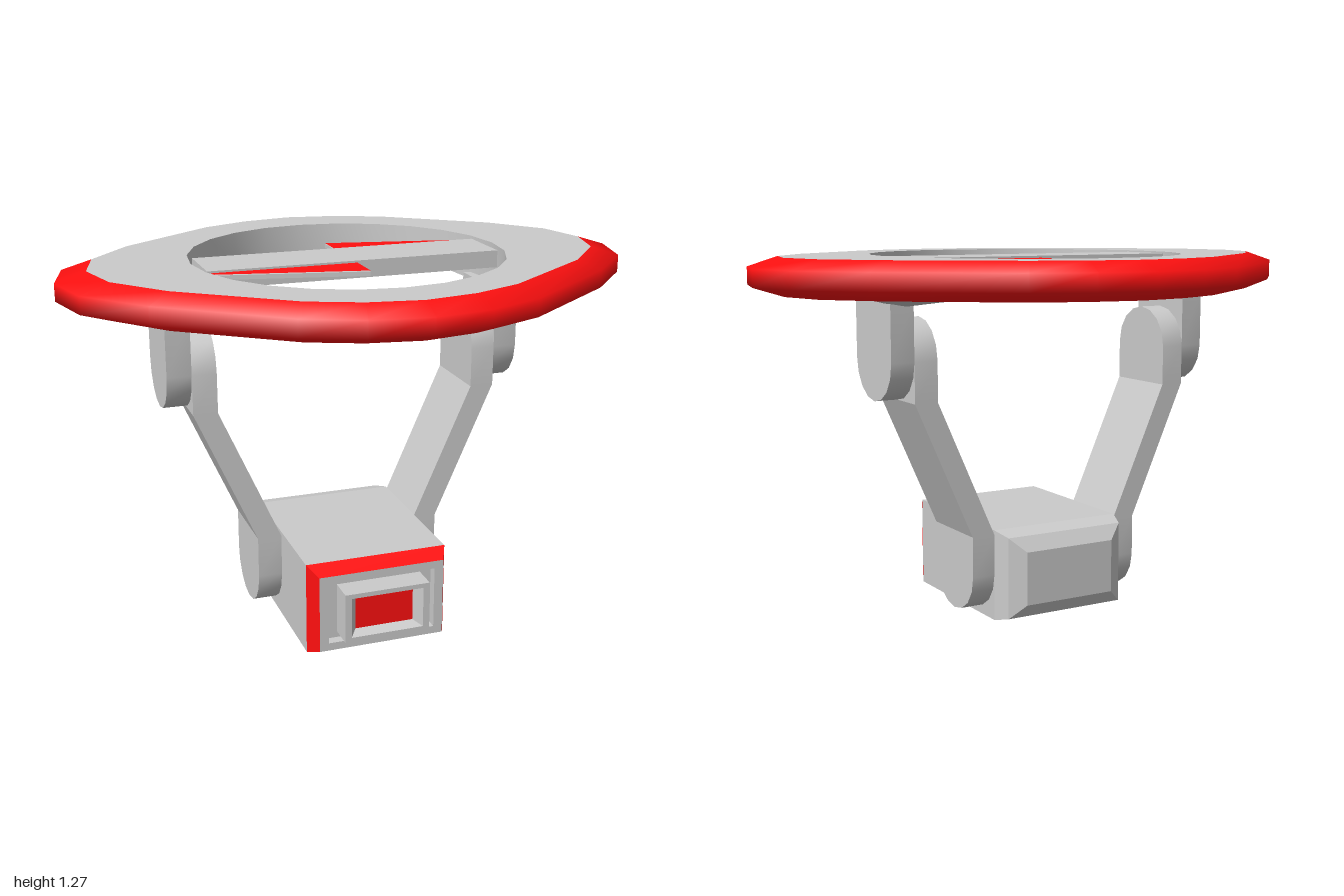
import * as THREE from 'three';
import { toCreasedNormals } from 'three/addons/utils/BufferGeometryUtils.js';

const grey = new THREE.MeshStandardMaterial({ color: 0xcccccc });
const red = new THREE.MeshStandardMaterial({ color: 0xff1010 });
const CX = -0.043, CY = 0.163; // centre of the hanging unit

function add(parent, name, geometry, material = grey) {
  const mesh = new THREE.Mesh(geometry, material);
  mesh.name = name;
  parent.add(mesh);
  return mesh;
}

// Closed 20-point outline mirrored from one quadrant of [x, z] points
function outline(quadrant) {
  return Array.from({ length: 20 }, (_, i) => {
    const k = i % 10;
    const [x, z] = quadrant[k <= 5 ? k : 10 - k];
    return new THREE.Vector2(i > 5 && i < 15 ? -x : x, i > 10 ? -z : z);
  });
}
const outer = outline([[1, 0], [0.95, 0.2], [0.77, 0.4], [0.39, 0.69], [0.2, 0.77], [0, 0.8]]);
const inner = outline([[0.895, 0], [0.85, 0.18], [0.7, 0.36], [0.35, 0.62], [0.18, 0.69], [0, 0.72]]);

// Ring plate with a round hole; its underside swells down beside the arms
function plateGeometry() {
  const shape = new THREE.Shape(inner);
  const hole = Array.from({ length: 24 }, (_, i) => {
    const a = (i / 24) * Math.PI * 2;
    return new THREE.Vector2(Math.cos(a) * 0.55, Math.sin(a) * 0.55);
  });
  shape.holes.push(new THREE.Path(hole));
  const g = new THREE.ExtrudeGeometry(shape, { depth: 0.125, bevelEnabled: false });
  g.rotateX(Math.PI / 2).translate(0, 1.275, 0);
  const p = g.attributes.position;
  for (let i = 0; i < p.count; i++) {
    const x = p.getX(i), z = p.getZ(i);
    if (p.getY(i) < 1.2 && Math.hypot(x, z) < 0.6) {
      p.setY(i, 1.15 - 0.035 * THREE.MathUtils.clamp((0.38 - Math.abs(z)) / 0.23, 0, 1));
    }
  }
  return toCreasedNormals(g, 0.4);
}

// Rounded rim: profile swept between the inner and outer outlines
function rimGeometry() {
  const profile = [[0, 1.275], [1, 1.242], [1, 1.182], [0, 1.15]];
  const n = outer.length, m = profile.length, pos = [], index = [];
  for (let i = 0; i < n; i++) {
    for (const [t, y] of profile) {
      const q = inner[i].clone().lerp(outer[i], t);
      pos.push(q.x, y, q.y);
    }
    for (let j = 0; j < m - 1; j++) {
      const a = i * m + j, b = ((i + 1) % n) * m + j;
      index.push(a, b, b + 1, a, b + 1, a + 1);
    }
  }
  const g = new THREE.BufferGeometry();
  g.setAttribute('position', new THREE.Float32BufferAttribute(pos, 3));
  g.setIndex(index);
  g.computeVertexNormals();
  return g;
}

// Skin through rectangles [halfWidth, halfHeight, z], with optional end caps
function rectLoft(sections, capBack = false, capFront = false) {
  const corners = sections.map(([w, h, z]) =>
    [[1, -1], [1, 1], [-1, 1], [-1, -1]].map(([sx, sy]) => [CX + sx * w, CY + sy * h, z]));
  const pos = [];
  const quad = (a, b, c, d) => pos.push(...a, ...b, ...c, ...a, ...c, ...d);
  for (let s = 0; s < corners.length - 1; s++) {
    const a = corners[s], b = corners[s + 1];
    for (let i = 0; i < 4; i++) quad(a[i], a[(i + 1) % 4], b[(i + 1) % 4], b[i]);
  }
  if (capBack) quad(...[...corners[0]].reverse());
  if (capFront) quad(...corners[corners.length - 1]);
  const g = new THREE.BufferGeometry();
  g.setAttribute('position', new THREE.Float32BufferAttribute(pos, 3));
  g.computeVertexNormals();
  return g;
}

// Upright plate with one semicircular end (at yRound) and one flat end
function tab(xMin, xMax, yRound, yFlat) {
  const r = 0.14, dir = Math.sign(yFlat - yRound);
  const pts = [[r, yFlat], [-r, yFlat]];
  for (let i = 0; i <= 8; i++) {
    const a = (i / 8) * Math.PI;
    pts.push([-r * Math.cos(a), yRound + dir * r * (1 - Math.sin(a))]);
  }
  const shape = new THREE.Shape(pts.map(([u, v]) => new THREE.Vector2(u, v)));
  const g = new THREE.ExtrudeGeometry(shape, { depth: xMax - xMin, bevelEnabled: false });
  g.rotateY(Math.PI / 2).translate(xMin, 0, 0);
  return toCreasedNormals(g, 0.5);
}

// Leaning middle of an arm: a box whose top is shifted outward
function armLink() {
  const g = new THREE.BoxGeometry(0.085, 0.48, 0.28).toNonIndexed();
  const p = g.attributes.position;
  for (let i = 0; i < p.count; i++) if (p.getY(i) > 0) p.setX(i, p.getX(i) + 0.213);
  g.translate(0.2925, 0.55, 0);
  g.computeVertexNormals();
  return g;
}

export function createModel() {
  const model = new THREE.Group();
  model.name = 'ringGimbal';

  // Ring
  add(model, 'ringPlate', plateGeometry());
  add(model, 'ringRim', rimGeometry(), red);

  // Crossbar with two opposed tapered blades
  add(model, 'crossbar', new THREE.BoxGeometry(1.04, 0.06, 0.22).translate(0, 1.24, 0));
  const bladeShape = new THREE.Shape(
    [[0, 0.08], [0, 0.24], [-0.52, 0.13], [-0.52, 0.08]].map(([x, z]) => new THREE.Vector2(x, -z)));
  for (const turn of [0, Math.PI]) {
    const blade = new THREE.Group();
    blade.name = 'blade';
    add(blade, 'bladeBody', new THREE.ExtrudeGeometry(bladeShape, { depth: 0.015, bevelEnabled: false })
      .rotateX(-Math.PI / 2).translate(0, 1.245, 0));
    const top = add(blade, 'bladeTop', new THREE.ShapeGeometry(bladeShape)
      .rotateX(-Math.PI / 2).translate(0, 1.263, 0), red.clone());
    top.material.side = THREE.DoubleSide;
    blade.rotation.y = turn;
    model.add(blade);
  }

  // Brackets and bent arms on both sides (offsets measured from the unit's centre)
  for (const [side, turn] of [['left', 0], ['right', Math.PI]]) {
    const arm = new THREE.Group();
    arm.name = side + 'Arm';
    add(arm, 'armFoot', tab(0.25, 0.335, 0.025, 0.31));
    add(arm, 'armLink', armLink());
    add(arm, 'armHead', tab(0.463, 0.548, 1.07, 0.79));
    add(arm, 'bracket', tab(0.548, 0.632, 0.79, 1.14));
    arm.position.x = CX;
    arm.rotation.y = turn;
    model.add(arm);
  }

  // Camera housing: chamfered back, red collar, recessed face and protruding lens hood
  const camera = new THREE.Group();
  camera.name = 'camera';
  add(camera, 'housing', rectLoft(
    [[0.175, 0.095, -0.24], [0.23, 0.145, -0.205], [0.25, 0.1625, -0.14], [0.25, 0.1625, 0.43]], true));
  add(camera, 'collar', rectLoft([[0.25, 0.1625, 0.43], [0.222, 0.137, 0.49]]), red);
  add(camera, 'lensHood', rectLoft([
    [0.222, 0.137, 0.49], [0.19, 0.11, 0.49], [0.19, 0.11, 0.455], [0.15, 0.088, 0.455],
    [0.15, 0.088, 0.545], [0.128, 0.072, 0.545], [0.103, 0.058, 0.51]]));
  add(camera, 'lens', rectLoft([[0.103, 0.058, 0.505], [0.103, 0.058, 0.51]], false, true), red);
  model.add(camera);

  return model;
}
